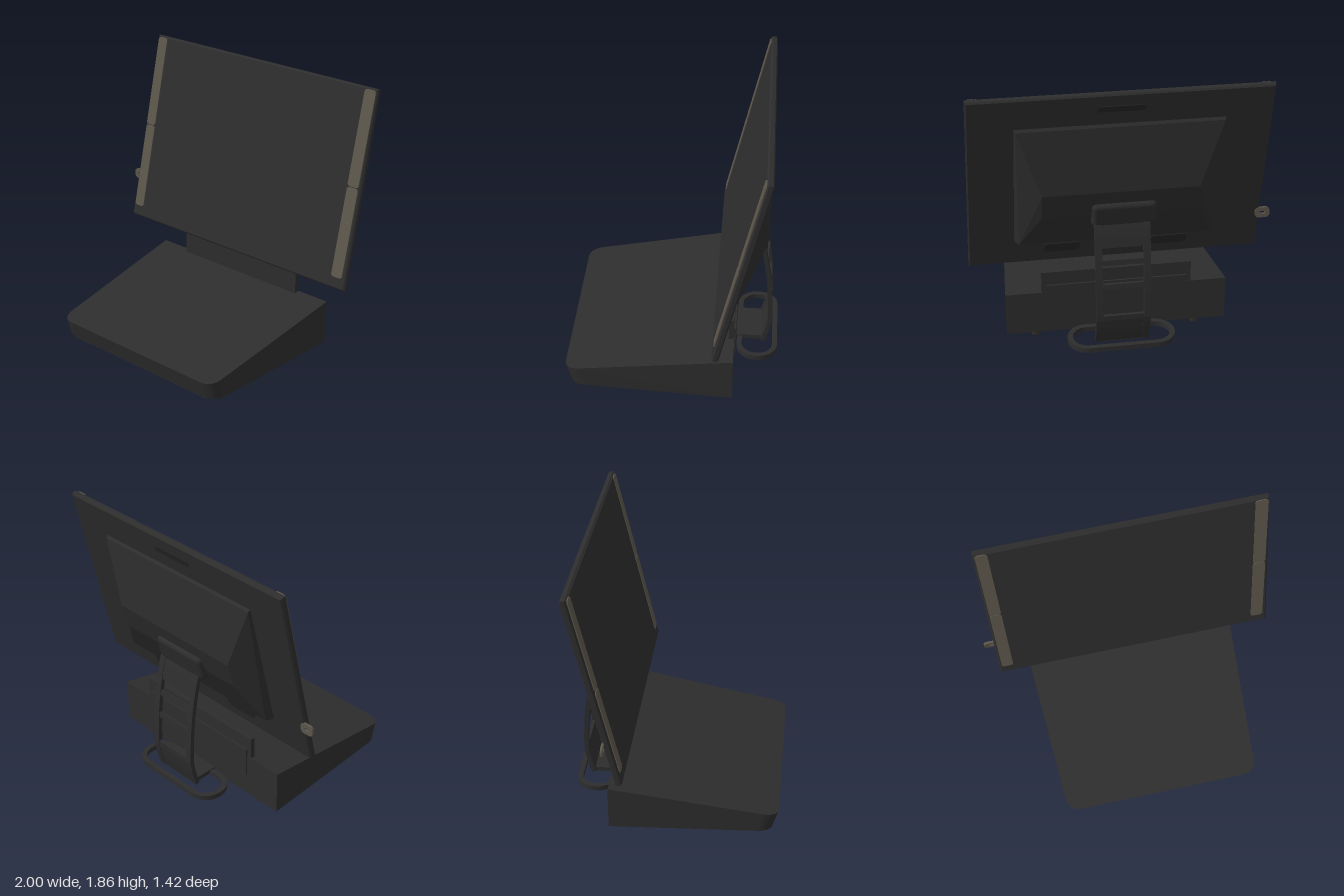
import * as THREE from 'three';
import { RoundedBoxGeometry } from 'three/addons/geometries/RoundedBoxGeometry.js';
import { ConvexGeometry } from 'three/addons/geometries/ConvexGeometry.js';

const mat = (name, color) => {
  const m = new THREE.MeshStandardMaterial({ color });
  m.name = name;
  return m;
};

export function createModel() {
  const model = new THREE.Group();
  const black = mat('charcoal plastic', 0x2d2d2d);
  const dark = mat('dark trim', 0x232323);
  const taupe = mat('taupe strip', 0x5c564b);
  const brown = mat('brown underside', 0x37332a);
  const CX = 0.025;

  const add = (parent, name, geometry, material, x = 0, y = 0, z = 0) => {
    const mesh = new THREE.Mesh(geometry, material);
    mesh.name = name;
    mesh.position.set(x, y, z);
    parent.add(mesh);
    return mesh;
  };
  const box = (parent, name, material, w, h, d, x, y, z) =>
    add(parent, name, new THREE.BoxGeometry(w, h, d), material, x, y, z);
  const roundRect = (w, h, r, C = THREE.Shape) => {
    const s = new C();
    s.moveTo(-w / 2 + r, -h / 2);
    s.absarc(w / 2 - r, -h / 2 + r, r, -Math.PI / 2, 0);
    s.absarc(w / 2 - r, h / 2 - r, r, 0, Math.PI / 2);
    s.absarc(-w / 2 + r, h / 2 - r, r, Math.PI / 2, Math.PI);
    s.absarc(-w / 2 + r, -h / 2 + r, r, Math.PI, Math.PI * 1.5);
    return s;
  };
  const extrude = (shape, depth, extra = {}) =>
    new THREE.ExtrudeGeometry(shape, { depth, bevelEnabled: false, curveSegments: 8, ...extra });

  // Wedge base: plan outline with rounded front corners, sloping top
  const outline = (inset) => {
    const i = inset, s = new THREE.Shape();
    s.moveTo(-0.72 + i, 0.42 - i);
    s.lineTo(-0.665 + i, -0.61);
    s.quadraticCurveTo(-0.655 + i, -0.7 + i, -0.57, -0.705 + i);
    s.lineTo(0.62, -0.705 + i);
    s.quadraticCurveTo(0.705 - i, -0.7 + i, 0.712 - i, -0.61);
    s.lineTo(0.77 - i, 0.42 - i);
    return s;
  };
  const base = extrude(outline(0), 1).rotateX(-Math.PI / 2);
  const p = base.attributes.position;
  for (let i = 0; i < p.count; i++) {
    const z = p.getZ(i), top = p.getY(i) > 0.5;
    p.setY(i, top ? 0.28 - 0.163 * z : 0.04);
    if (!top && z > 0.5) p.setZ(i, z - 0.035);
  }
  base.computeVertexNormals();
  add(model, 'base', base, black);
  const plate = extrude(outline(0.04), 0.008).rotateX(-Math.PI / 2);
  add(model, 'baseUnderside', plate, brown, 0, 0.034, 0);
  for (const x of [-0.52, 0.57])
    for (const z of [0.6, -0.37])
      add(model, 'foot', new THREE.CylinderGeometry(0.035, 0.03, 0.035, 16), brown, x, 0.0175, z);

  // Upright plate behind the base
  box(model, 'backPlate', black, 1.005, 0.3, 0.035, CX, 0.35, -0.4);
  box(model, 'backPlateCover', black, 0.94, 0.21, 0.03, CX, 0.3, -0.415);

  // Tilted screen; its origin is the lower front edge
  const screen = new THREE.Group();
  screen.name = 'screen';
  screen.position.set(0, 0.55, -0.285);
  screen.rotation.x = -0.227;
  model.add(screen);
  const body = new THREE.Shape();
  body.moveTo(-0.92, 0.01);
  body.lineTo(0.985, 0.01);
  body.lineTo(0.96, 1.335);
  body.lineTo(-0.915, 1.335);
  add(screen, 'screenHousing', extrude(body, 0.026, {
    bevelEnabled: true, bevelSize: 0.01, bevelThickness: 0.01, bevelSegments: 1,
  }), black, 0, 0, -0.036);
  box(screen, 'screenGlass', black, 1.71, 1.255, 0.004, CX, 0.7075, 0.001);

  // Strips on both sides of the glass, each in two lengths
  for (const [x, w] of [[-0.872, 0.08], [0.922, 0.085]])
    for (const [u0, u1] of [[0.08, 0.69], [0.695, 1.335]])
      add(screen, 'sideStrip', extrude(roundRect(w, u1 - u0, 0.02), 0.008),
        taupe, x, (u0 + u1) / 2, -0.001);

  // Faceted bulge on the back of the screen
  const bulge = [];
  for (const [x, u, w] of [[0.66, 1.13, -0.04], [0.65, 1.11, -0.062], [0.5, 0.69, -0.187],
    [0.5, 0.5, -0.175], [0.64, 0.21, -0.095], [0.67, 0.2, -0.04]])
    for (const s of [-1, 1]) bulge.push(new THREE.Vector3(CX + s * x, u, w));
  add(screen, 'rearBulge', new ConvexGeometry(bulge), black);
  add(screen, 'rearSlot', extrude(roundRect(0.3, 0.04, 0.015), 0.006), dark, CX, 1.24, -0.051);
  add(screen, 'hingeCover', new RoundedBoxGeometry(0.42, 0.19, 0.09, 3, 0.035), black, 0.0, 0.5, -0.16);
  for (const x of [-0.33, 0.38])
    add(screen, 'rearPort', extrude(roundRect(0.24, 0.07, 0.03), 0.007), dark, x, 0.12, -0.052);

  // Small looped tab on the right edge
  const tab = roundRect(0.1, 0.075, 0.03);
  tab.holes.push(roundRect(0.035, 0.02, 0.009, THREE.Path));
  add(model, 'sideTab', extrude(tab, 0.015), taupe, -0.95, 0.83, -0.408);

  // Curved arm: side rails and cross pieces follow one curve (z, y)
  const arm = new THREE.Group();
  arm.name = 'supportArm';
  model.add(arm);
  const curve = new THREE.SplineCurve([[-0.53, 0.98], [-0.58, 0.89], [-0.635, 0.6],
    [-0.655, 0.3], [-0.645, 0.2], [-0.61, 0.065]].map(([z, y]) => new THREE.Vector2(z, y)));
  const strip = (name, x0, x1, t0, t1, thick) => {
    const n = Math.max(3, Math.round((t1 - t0) * 24)), a = [], b = [];
    for (let i = 0; i <= n; i++) {
      const t = t0 + (t1 - t0) * i / n;
      const c = curve.getPointAt(t), d = curve.getTangentAt(t);
      a.push(new THREE.Vector2(-(c.x - d.y * thick / 2), c.y + d.x * thick / 2));
      b.unshift(new THREE.Vector2(-(c.x + d.y * thick / 2), c.y - d.x * thick / 2));
    }
    // Extruded along z, then turned so the depth runs along x
    add(arm, name, extrude(new THREE.Shape([...a, ...b]), x1 - x0).rotateY(Math.PI / 2), black, x0);
  };
  strip('armRail', -0.165, -0.12, 0, 1, 0.03);
  strip('armRail', 0.15, 0.195, 0, 1, 0.03);
  for (const [t0, t1] of [[0, 0.24], [0.33, 0.37], [0.51, 0.55], [0.76, 1]])
    strip('armCrossPiece', -0.12, 0.15, t0, t1, 0.022);

  // Oval ring foot
  const ring = roundRect(0.72, 0.28, 0.135);
  ring.holes.push(roundRect(0.65, 0.21, 0.1, THREE.Path));
  add(model, 'ringFoot', extrude(ring, 0.035, { curveSegments: 14 }).rotateX(-Math.PI / 2),
    black, 0.015, 0.04, -0.572);
  box(model, 'footBridge', black, 0.3, 0.03, 0.2, 0.015, 0.07, -0.52);

  return model;
}
